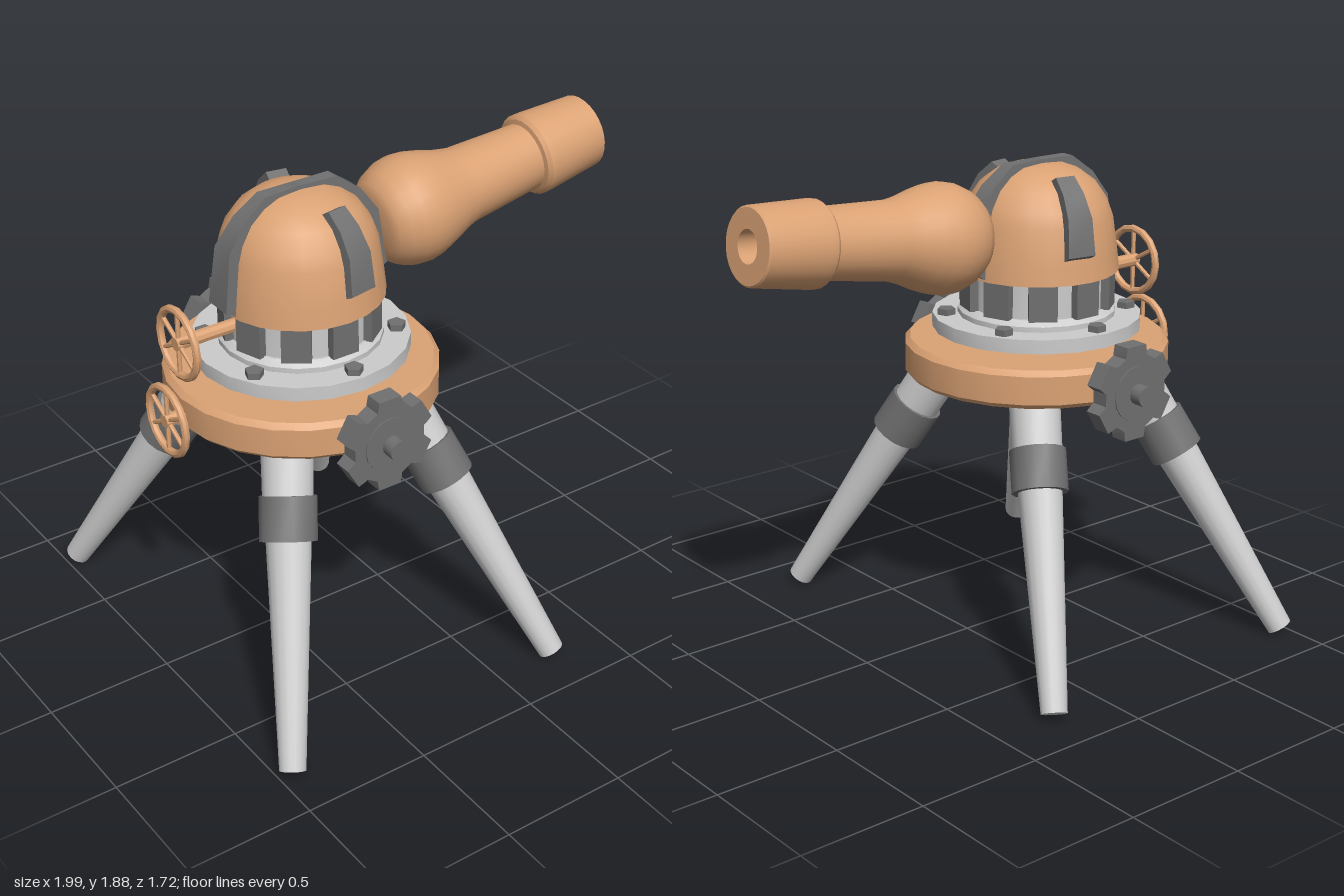
import * as THREE from 'three';
import { toCreasedNormals } from 'three/addons/utils/BufferGeometryUtils.js';

const copper = new THREE.MeshStandardMaterial({ color: 0xdba274 });
const steel = new THREE.MeshStandardMaterial({ color: 0xcccccc });
const iron = new THREE.MeshStandardMaterial({ color: 0x707070 });

function part(parent, name, geometry, material, x = 0, y = 0, z = 0) {
  const mesh = new THREE.Mesh(toCreasedNormals(geometry, 0.6), material);
  mesh.name = name;
  mesh.position.set(x, y, z);
  parent.add(mesh);
  return mesh;
}

function lathe(profile, sides) {
  return new THREE.LatheGeometry(profile.map(([r, y]) => new THREE.Vector2(r, y)), sides);
}

// Tapered rod between two points
function rod(parent, name, a, b, ra, rb, sides, material) {
  const dir = b.clone().sub(a);
  const mesh = part(parent, name, new THREE.CylinderGeometry(rb, ra, dir.length(), sides), material);
  mesh.position.copy(a).addScaledVector(dir, 0.5);
  mesh.quaternion.setFromUnitVectors(new THREE.Vector3(0, 1, 0), dir.normalize());
  return mesh;
}

// Bent plate hugging the dome; each path entry is [radius, height, half width]
function strap(path) {
  const rings = path.map(([r, y, w]) => [
    [r, y, w], [r, y, -w], [r - 0.045, y - 0.025, -w], [r - 0.045, y - 0.025, w],
  ]);
  const out = [];
  const quad = (a, b, c, d) => out.push(...a, ...b, ...c, ...a, ...c, ...d);
  for (let i = 0; i < rings.length - 1; i++) {
    for (let k = 0; k < 4; k++) {
      const n = (k + 1) % 4;
      quad(rings[i][k], rings[i][n], rings[i + 1][n], rings[i + 1][k]);
    }
  }
  const s = rings[0], e = rings[rings.length - 1];
  quad(s[0], s[3], s[2], s[1]);
  quad(e[0], e[1], e[2], e[3]);
  const g = new THREE.BufferGeometry();
  g.setAttribute('position', new THREE.Float32BufferAttribute(out, 3));
  g.computeVertexNormals();
  return g;
}

// Six-toothed gear, extruded along z
function gearGeometry() {
  const shape = new THREE.Shape();
  for (let i = 0; i < 6; i++) {
    const a = Math.PI / 2 + (i * Math.PI) / 3;
    const corners = [[0.152, -0.36], [0.16, -0.34], [0.19, -0.25], [0.19, 0.25], [0.16, 0.34], [0.152, 0.36]];
    corners.forEach(([r, t], k) => {
      const x = r * Math.cos(a + t), y = r * Math.sin(a + t);
      if (i + k === 0) shape.moveTo(x, y); else shape.lineTo(x, y);
    });
  }
  shape.closePath();
  return new THREE.ExtrudeGeometry(shape, { depth: 0.07, bevelEnabled: false });
}

// Spoked wheel on a shaft pointing to +x
function handwheel(parent, name, x, y, shaftLength) {
  const wheel = new THREE.Group();
  wheel.name = name;
  wheel.position.set(x, y, 0);
  parent.add(wheel);
  const rim = part(wheel, 'wheelRim', new THREE.TorusGeometry(0.13, 0.015, 8, 16), copper);
  rim.rotation.y = Math.PI / 2;
  for (let i = 0; i < 3; i++) {
    const spoke = part(wheel, 'wheelSpokes', new THREE.CylinderGeometry(0.009, 0.009, 0.26, 6), copper);
    spoke.rotation.x = (i * Math.PI) / 3;
  }
  rod(wheel, 'wheelShaft', new THREE.Vector3(-0.015, 0, 0), new THREE.Vector3(shaftLength, 0, 0),
    0.026, 0.026, 10, copper);
}

export function createModel() {
  const model = new THREE.Group();
  model.name = 'tripodCannon';
  const turret = new THREE.Group();
  turret.name = 'turret';
  turret.position.x = -0.35;
  model.add(turret);

  // Splayed legs with collars
  for (const sx of [-1, 1]) {
    for (const sz of [-1, 1]) {
      const leg = new THREE.Group();
      leg.name = 'leg';
      turret.add(leg);
      const top = new THREE.Vector3(0.23 * sx, 1.09, 0.25 * sz);
      const foot = new THREE.Vector3(0.6 * sx, 0.027, 0.815 * sz);
      const at = (t) => top.clone().lerp(foot, t);
      rod(leg, 'lowerLeg', foot, at(0.28), 0.05, 0.088, 16, steel);
      rod(leg, 'upperLeg', at(0.28), top, 0.093, 0.1, 16, steel);
      rod(leg, 'legCollar', at(0.345), at(0.215), 0.108, 0.108, 16, iron);
    }
  }

  // Round base and bolted flange
  part(turret, 'base', lathe([[0, 1.03], [0.5, 1.03], [0.52, 1.05], [0.52, 1.16], [0.5, 1.18], [0, 1.18]], 24), copper);
  part(turret, 'flange', lathe([[0, 1.215], [0.41, 1.215], [0.41, 1.27], [0.31, 1.27], [0.31, 1.29],
    [0.285, 1.31], [0, 1.31]], 20), steel);
  for (let i = 0; i < 6; i++) {
    const a = (i * Math.PI) / 3 + 0.54;
    part(turret, 'flangeBolt', new THREE.CylinderGeometry(0.036, 0.036, 0.03, 5), iron,
      0.357 * Math.cos(a), 1.28, 0.357 * Math.sin(a));
  }

  // Drum ringed with posts
  part(turret, 'drum', new THREE.CylinderGeometry(0.275, 0.275, 0.16, 20), steel, 0, 1.38, 0);
  for (let i = 0; i < 10; i++) {
    const a = ((i + 0.5) * Math.PI) / 5;
    const post = part(turret, 'drumPost', new THREE.BoxGeometry(0.06, 0.145, 0.11), iron,
      0.27 * Math.cos(a), 1.38, 0.27 * Math.sin(a));
    post.rotation.y = -a;
  }

  // Dome with long straps along x and short plates on both sides
  part(turret, 'dome', lathe([[0, 1.45], [0.32, 1.45], [0.312, 1.52], [0.292, 1.66], [0.27, 1.72], [0.225, 1.785],
    [0.165, 1.83], [0.1, 1.855], [0, 1.862]], 24), copper);
  for (const a of [0, Math.PI]) {
    const band = part(turret, 'domeStrap', strap([[0.35, 1.48, 0.06], [0.322, 1.7, 0.05], [0.25, 1.8, 0.038],
      [0.15, 1.873, 0.028], [0, 1.876, 0.022]]), iron);
    band.rotation.y = a;
  }
  for (const s of [-1, 1]) {
    const plate = part(turret, 'domeSidePlate', strap([[0.333, 1.56, 0.058], [0.315, 1.7, 0.052],
      [0.265, 1.785, 0.045], [0.2, 1.842, 0.04]]), iron);
    plate.rotation.y = s * (Math.PI / 2 - 0.18);
  }

  // Bulging barrel with hollow muzzle
  const barrel = part(model, 'barrel', lathe([[0, -0.02], [0.12, -0.02], [0.155, -0.005], [0.185, 0.035], [0.207, 0.09],
    [0.213, 0.14], [0.207, 0.19], [0.19, 0.25], [0.165, 0.32], [0.15, 0.38], [0.132, 0.69], [0.15, 0.695],
    [0.162, 0.71], [0.162, 0.74], [0.145, 0.98], [0.138, 0.987], [0.062, 0.987], [0.062, 0.86], [0, 0.86]], 28),
    copper, 0, 1.62, 0);
  barrel.rotation.z = -Math.PI / 2 + 0.122;

  // Gears on both sides of the base
  for (const s of [0, Math.PI]) {
    const gear = new THREE.Group();
    gear.name = 'sideGear';
    gear.position.y = 1.075;
    gear.rotation.y = s;
    turret.add(gear);
    part(gear, 'gearWheel', gearGeometry(), iron, 0, 0, 0.503);
    const disc = (name, r, z0, z1) => rod(gear, name, new THREE.Vector3(0, 0, z0), new THREE.Vector3(0, 0, z1),
      r, r, 16, iron);
    disc('gearFace', 0.107, 0.5, 0.578);
    disc('gearNeck', 0.03, 0.5, 0.6);
    disc('gearHub', 0.04, 0.585, 0.635);
  }

  // Handwheels behind the turret
  handwheel(model, 'upperHandwheel', -0.867, 1.39, 0.26);
  handwheel(model, 'lowerHandwheel', -0.93, 1.09, 0.08);
  return model;
}
